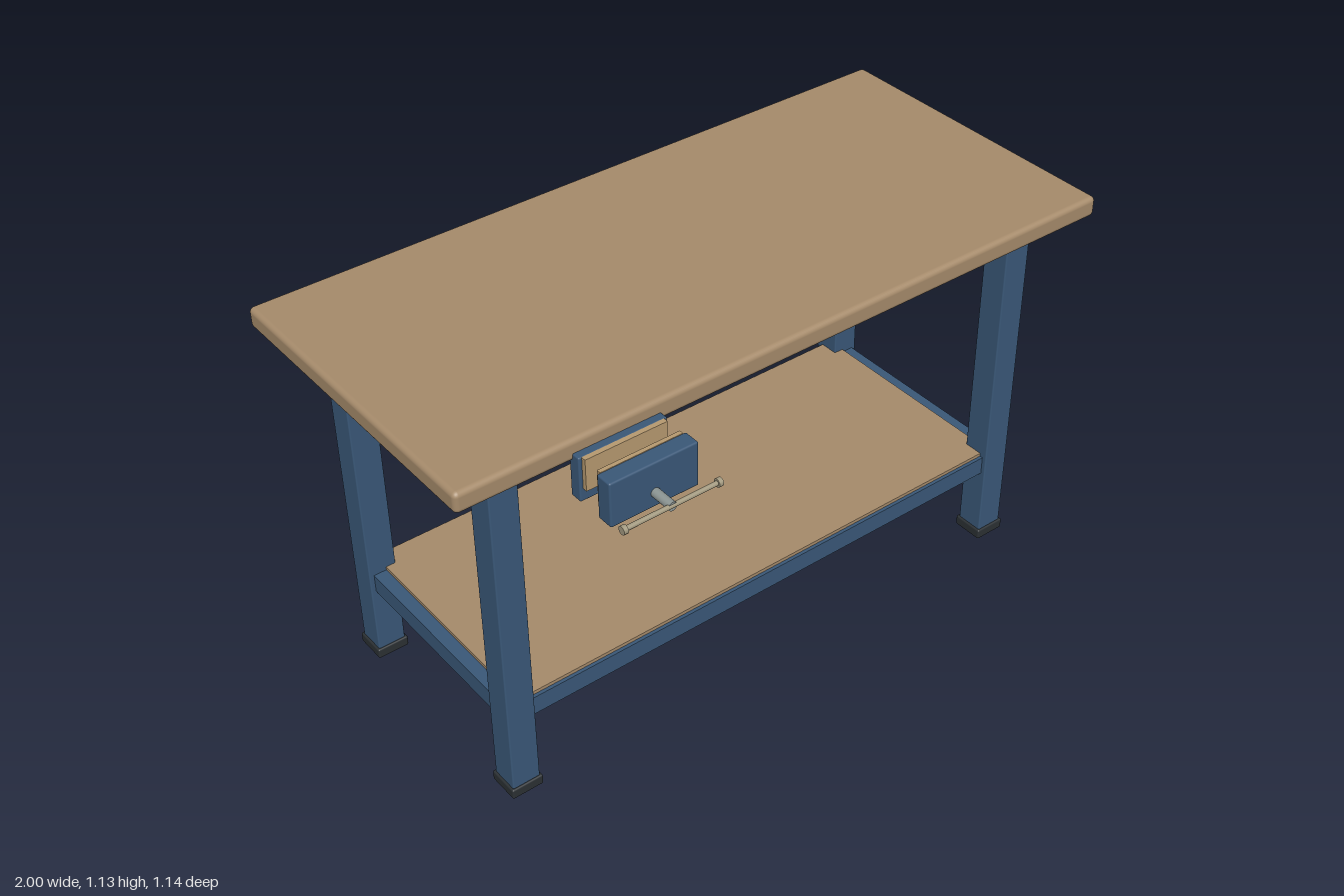
import * as THREE from 'three';
import { RoundedBoxGeometry } from 'three/addons/geometries/RoundedBoxGeometry.js';

const flat = (name, color) => {
  const m = new THREE.MeshStandardMaterial({ color });
  m.name = name;
  return m;
};

export function createModel() {
  const wood = flat('wood', 0xa68b6b);
  const jawWood = flat('jaw wood', 0xb79a70);
  const blue = flat('blue paint', 0x3a5878);
  const rubber = flat('dark rubber', 0x2b3033);
  const steel = flat('steel', 0x8d9694);
  const brass = flat('handle metal', 0xa39a80);

  const bench = new THREE.Group();
  bench.name = 'workbench';

  const add = (parent, name, geometry, material, x = 0, y = 0, z = 0) => {
    const mesh = new THREE.Mesh(geometry, material);
    mesh.name = name;
    mesh.position.set(x, y, z);
    parent.add(mesh);
    return mesh;
  };
  // Box given by its limits on each axis, with an optional edge radius
  const block = (parent, name, material, [x0, x1], [y0, y1], [z0, z1], r = 0) => {
    const size = [x1 - x0, y1 - y0, z1 - z0];
    const geometry = r ? new RoundedBoxGeometry(...size, 3, r) : new THREE.BoxGeometry(...size);
    return add(parent, name, geometry, material, (x0 + x1) / 2, (y0 + y1) / 2, (z0 + z1) / 2);
  };

  // Worktop
  block(bench, 'worktop', wood, [-1, 1], [1.068, 1.127], [-0.571, 0.355], 0.014);

  // Legs with rubber feet, and long rails above and below
  const legX = 0.821, legZ = [0.221, -0.436];
  for (const z of legZ) {
    for (const x of [-legX, legX]) {
      block(bench, 'leg', blue, [x - 0.041, x + 0.041], [0.02, 1.03], [z - 0.041, z + 0.041], 0.004);
      block(bench, 'foot', rubber, [x - 0.047, x + 0.047], [0, 0.031], [z - 0.047, z + 0.047], 0.005);
    }
    block(bench, 'topRail', blue, [-0.86, 0.86], [0.985, 1.069], [z - 0.027, z + 0.027]);
    block(bench, 'lowerRail', blue, [-0.79, 0.79], [0.235, 0.291], [z - 0.027, z + 0.027]);
  }
  // Short lower rails at the ends
  for (const x of [-legX, legX])
    block(bench, 'endRail', blue, [x - 0.027, x + 0.027], [0.235, 0.291], [-0.4, 0.185]);

  // Shelf
  block(bench, 'shelf', wood, [-0.81, 0.81], [0.28, 0.301], [-0.452, 0.238]);

  // Vise on the front edge
  const vise = new THREE.Group();
  vise.name = 'vise';
  bench.add(vise);
  const jawX = [-0.689, -0.439], cx = -0.564, sy = 1.006;
  block(vise, 'fixedJaw', blue, jawX, [0.964, 1.09], [0.342, 0.378], 0.004);
  block(vise, 'fixedJawFacing', jawWood, [-0.68, -0.448], [1.0, 1.09], [0.377, 0.391]);
  block(vise, 'movingJaw', blue, jawX, [0.964, 1.09], [0.447, 0.495], 0.005);
  block(vise, 'movingJawFacing', jawWood, [-0.68, -0.448], [1.0, 1.09], [0.436, 0.448]);

  // Screw with a helical thread
  const screw = add(vise, 'screw', new THREE.CylinderGeometry(0.0125, 0.0125, 0.31, 20), steel, cx, sy, 0.405);
  screw.rotation.x = Math.PI / 2;
  const turns = 14, points = [];
  for (let i = 0; i <= turns * 10; i++) {
    const a = (i / 10) * Math.PI * 2;
    points.push(new THREE.Vector3(0.0135 * Math.cos(a), 0.0135 * Math.sin(a), 0.25 + 0.17 * i / (turns * 10)));
  }
  add(vise, 'screwThread', new THREE.TubeGeometry(new THREE.CatmullRomCurve3(points), turns * 14, 0.0025, 5),
    steel, cx, sy);

  // Sliding handle with end knobs
  const bar = add(vise, 'handle', new THREE.CylinderGeometry(0.0065, 0.0065, 0.27, 14), brass, cx, sy + 0.001, 0.557);
  bar.rotation.z = Math.PI / 2;
  for (const s of [-1, 1]) {
    const knob = add(vise, 'handleKnob', new THREE.CylinderGeometry(0.0115, 0.0115, 0.012, 16), brass,
      cx + s * 0.134, sy + 0.001, 0.557);
    knob.rotation.z = Math.PI / 2;
  }

  return bench;
}
